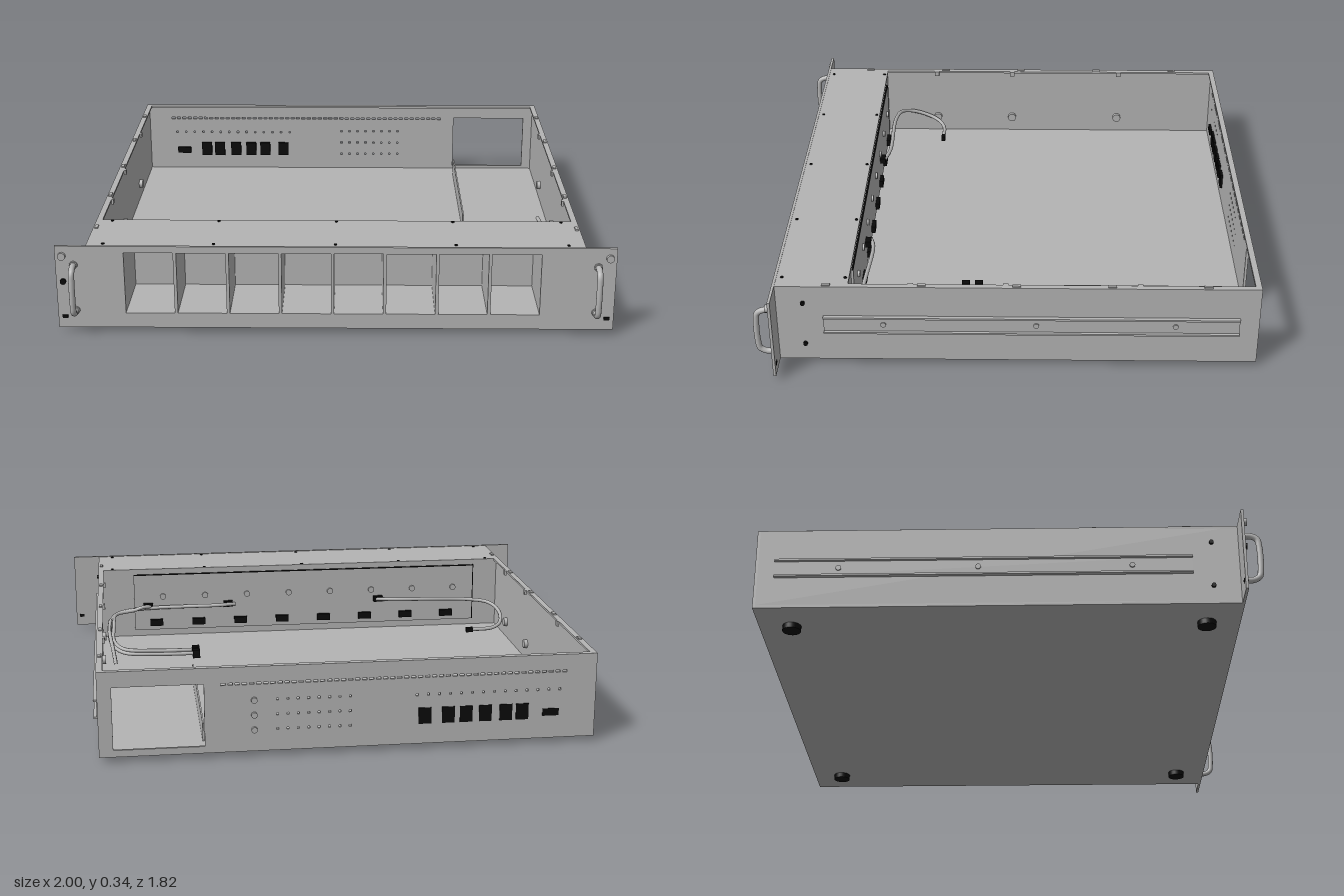
import * as THREE from 'three';

const steel = new THREE.MeshStandardMaterial({ color: 0xb4b4b4 });
steel.name = 'grey steel';
const black = new THREE.MeshStandardMaterial({ color: 0x0a0a0a });
black.name = 'black plastic';

export function createModel() {
  const model = new THREE.Group();

  const add = (name, geo, mat, x = 0, y = 0, z = 0) => {
    const m = new THREE.Mesh(geo, mat);
    m.name = name;
    m.position.set(x, y, z);
    model.add(m);
    return m;
  };
  // box given by its minimum and maximum corners
  const box = (name, mat, x0, x1, y0, y1, z0, z1) =>
    add(name, new THREE.BoxGeometry(x1 - x0, y1 - y0, z1 - z0), mat,
      (x0 + x1) / 2, (y0 + y1) / 2, (z0 + z1) / 2);
  // short cylinder pointing along an axis
  const disc = (name, mat, r, len, axis, x, y, z, sides = 16) => {
    const m = add(name, new THREE.CylinderGeometry(r, r, len, sides), mat, x, y, z);
    if (axis === 'x') m.rotation.z = Math.PI / 2;
    if (axis === 'z') m.rotation.x = Math.PI / 2;
    return m;
  };
  const rectPath = (P, x0, x1, y0, y1) => {
    const p = new P();
    p.moveTo(x0, y0);
    p.lineTo(x1, y0);
    p.lineTo(x1, y1);
    p.lineTo(x0, y1);
    p.closePath();
    return p;
  };
  // sheet in the xy plane with rectangular holes
  const sheet = (name, x0, x1, y0, y1, z, t, holes) => {
    const s = rectPath(THREE.Shape, x0, x1, y0, y1);
    for (const h of holes) s.holes.push(rectPath(THREE.Path, ...h));
    return add(name, new THREE.ExtrudeGeometry(s, { depth: t, bevelEnabled: false }), steel, 0, 0, z);
  };

  const W = 0.89, Y0 = 0.02, Y1 = 0.333, BACK = -0.9, FRONT = 0.832;
  const bayX = (i) => -0.755 + i * 0.1875;
  const bays = [...Array(8).keys()];

  // front panel with eight bay openings
  sheet('frontPanel', -1, 1, Y0, Y1 + 0.002, FRONT, 0.01,
    bays.map((i) => [bayX(i), bayX(i) + 0.176, 0.077, 0.31]));

  // rear panel with power opening, vent slots and hole rows
  const rearHoles = [[0.52, 0.84, 0.045, 0.275]];
  for (let i = 0; i < 50; i++) rearHoles.push([-0.78 + i * 0.025, -0.764 + i * 0.025, 0.267, 0.275]);
  for (const y of [0.21, 0.155, 0.1])
    for (let i = 0; i < 8; i++) rearHoles.push([i * 0.037, 0.008 + i * 0.037, y - 0.004, y + 0.004]);
  for (let i = 0; i < 14; i++) rearHoles.push([-0.76 + i * 0.04, -0.752 + i * 0.04, 0.2, 0.208]);
  sheet('rearPanel', -W, W, Y0, Y1, BACK, 0.01, rearHoles);

  // floor, bay cover and bulkhead
  box('floor', steel, -W, W, Y0, 0.032, BACK + 0.01, FRONT);
  box('bayCover', steel, -W, W, Y1 - 0.01, Y1, 0.572, FRONT);
  box('bulkhead', steel, -0.88, 0.88, 0.032, Y1 - 0.01, 0.576, 0.582);
  box('rearLip', steel, -0.88, 0.88, Y1 - 0.008, Y1, BACK + 0.01, -0.878);

  // side walls, lips, rails, screws, handles
  for (const s of [-1, 1]) {
    const side = (name, mat, a, b, ...r) =>
      box(name, mat, Math.min(s * a, s * b), Math.max(s * a, s * b), ...r);
    side('sideWall', steel, W - 0.01, W, 0.032, Y1, BACK + 0.01, FRONT);
    side('sideLip', steel, 0.868, W - 0.01, Y1 - 0.008, Y1, BACK + 0.01, 0.572);
    side('railBase', steel, W, W + 0.004, 0.14, 0.21, -0.83, 0.665);
    side('railFlange', steel, W, W + 0.015, 0.203, 0.21, -0.83, 0.665);
    side('railFlange', steel, W, W + 0.015, 0.14, 0.147, -0.83, 0.665);
    for (const z of [-0.6, -0.1, 0.45]) disc('railScrew', steel, 0.01, 0.006, 'x', s * (W + 0.006), 0.175, z);
    for (const z of [-0.47, 0.01, 0.35]) {
      disc('wallStud', steel, 0.018, 0.016, 'x', s * 0.873, 0.1, z);
      side('wallTab', steel, 0.86, 0.868, Y1 - 0.02, Y1, z - 0.01, z + 0.01);
    }
    for (const z of [0.65, 0.31, -0.03, -0.37, -0.71])
      side('lidTab', steel, 0.872, 0.884, Y1, Y1 + 0.005, z - 0.015, z + 0.015);
    for (const y of [0.09, 0.265]) disc('sideScrew', black, 0.008, 0.012, 'x', s * (W + 0.004), y, 0.735);

    // bowed front handle
    const hx = s * 0.935;
    const path = new THREE.CatmullRomCurve3([[0.087, 0.84], [0.087, 0.87], [0.1, 0.892], [0.13, 0.898],
      [0.22, 0.898], [0.25, 0.892], [0.263, 0.87], [0.263, 0.84]]
      .map(([y, z]) => new THREE.Vector3(hx, y, z)));
    add('handle', new THREE.TubeGeometry(path, 40, 0.011, 12), steel);
    for (const y of [0.087, 0.263]) disc('handleFoot', steel, 0.015, 0.008, 'z', hx, y, 0.845);

    // ear fittings
    disc('earScrew', steel, 0.014, 0.014, 'z', s * 0.975, 0.298, 0.847, 20);
    box('earSlot', black, s * 0.975 - 0.01, s * 0.975 + 0.01, 0.057, 0.069, FRONT - 0.002, 0.845);

    // feet
    for (const z of [0.72, -0.78]) disc('foot', black, 0.034, 0.02, 'y', s * 0.745, 0.01, z, 24);
  }
  disc('powerButton', black, 0.011, 0.01, 'z', -0.975, 0.2, 0.845);

  // cover screws
  for (const x of [-0.83, -0.435, 0, 0.43, 0.83])
    for (const z of [0.585, 0.812]) disc('coverScrew', black, 0.006, 0.004, 'y', x, Y1 + 0.001, z, 10);

  // drive cage: tray, roof and dividers
  box('cageFloor', steel, -0.767, 0.745, 0.067, 0.077, 0.582, FRONT);
  box('cageRoof', steel, -0.767, 0.745, 0.31, 0.318, 0.582, FRONT);
  for (let i = 0; i < 9; i++)
    box('cageDivider', steel, bayX(i) - 0.0115, bayX(i), 0.077, 0.31, 0.582, FRONT);

  // backplane with sockets and studs
  box('backplane', steel, -0.77, 0.74, 0.06, 0.305, 0.567, 0.576);
  box('backplaneEdge', black, -0.77, 0.74, 0.305, 0.309, 0.567, 0.574);
  box('backplaneEnd', black, -0.774, -0.77, 0.06, 0.309, 0.567, 0.576);
  for (const i of bays) {
    const x = -0.65 + i * 0.185;
    box('backplaneSocket', black, x - 0.028, x + 0.028, 0.08, 0.108, 0.552, 0.567);
    disc('backplaneStud', steel, 0.013, 0.008, 'z', x - 0.03, 0.21, 0.563);
  }

  // cables with end plugs
  const cable = (pts) => {
    const curve = new THREE.CatmullRomCurve3(pts.map((p) => new THREE.Vector3(...p)), false, 'centripetal');
    add('cable', new THREE.TubeGeometry(curve, 60, 0.008, 8), steel);
  };
  [0.12, 0.17].forEach((z, i) => {
    cable([[0.3 + i * 0.37, 0.17, 0.55], [0.36 + i * 0.35, 0.17, 0.535], [0.74, 0.16, 0.545 - i * 0.012],
      [0.82, 0.15, 0.51], [0.845 - i * 0.015, 0.13, 0.4], [0.84 - i * 0.01, 0.1, 0.23 + i * 0.03],
      [0.79, 0.085, z + 0.025], [0.65, 0.08, z + 0.005], [0.5, 0.08, z]]);
    box('cablePlug', black, 0.48, 0.51, 0.062, 0.096, z - 0.015, z + 0.015);
  });
  cable([[0.825, 0.1, -0.07], [0.835, 0.11, 0.1], [0.85, 0.14, 0.3], [0.845, 0.15, 0.42]]);
  cable([[-0.33, 0.17, 0.55], [-0.42, 0.17, 0.532], [-0.74, 0.16, 0.53], [-0.83, 0.15, 0.505], [-0.862, 0.13, 0.44],
    [-0.85, 0.1, 0.355], [-0.81, 0.085, 0.322], [-0.7, 0.08, 0.318]]);
  box('cablePlug', black, -0.72, -0.69, 0.07, 0.09, 0.31, 0.326);
  for (const x of [0.33, -0.34, 0.68]) box('cableHead', black, x - 0.02, x + 0.02, 0.158, 0.182, 0.545, 0.567);

  // inner partition beside the power opening
  box('partition', steel, 0.517, 0.523, 0.032, 0.1, -0.81, -0.1);

  // rear ports and studs
  for (const x of [-0.265, -0.35, -0.415, -0.485, -0.56, -0.62])
    box('rearPort', black, x - 0.023, x + 0.023, 0.095, 0.155, BACK - 0.003, BACK + 0.02);
  box('rearWidePort', black, -0.755, -0.695, 0.105, 0.132, BACK - 0.003, BACK + 0.02);
  for (const y of [0.21, 0.155, 0.1]) disc('rearStud', steel, 0.011, 0.012, 'z', 0.345, y, BACK - 0.004);

  return model;
}
